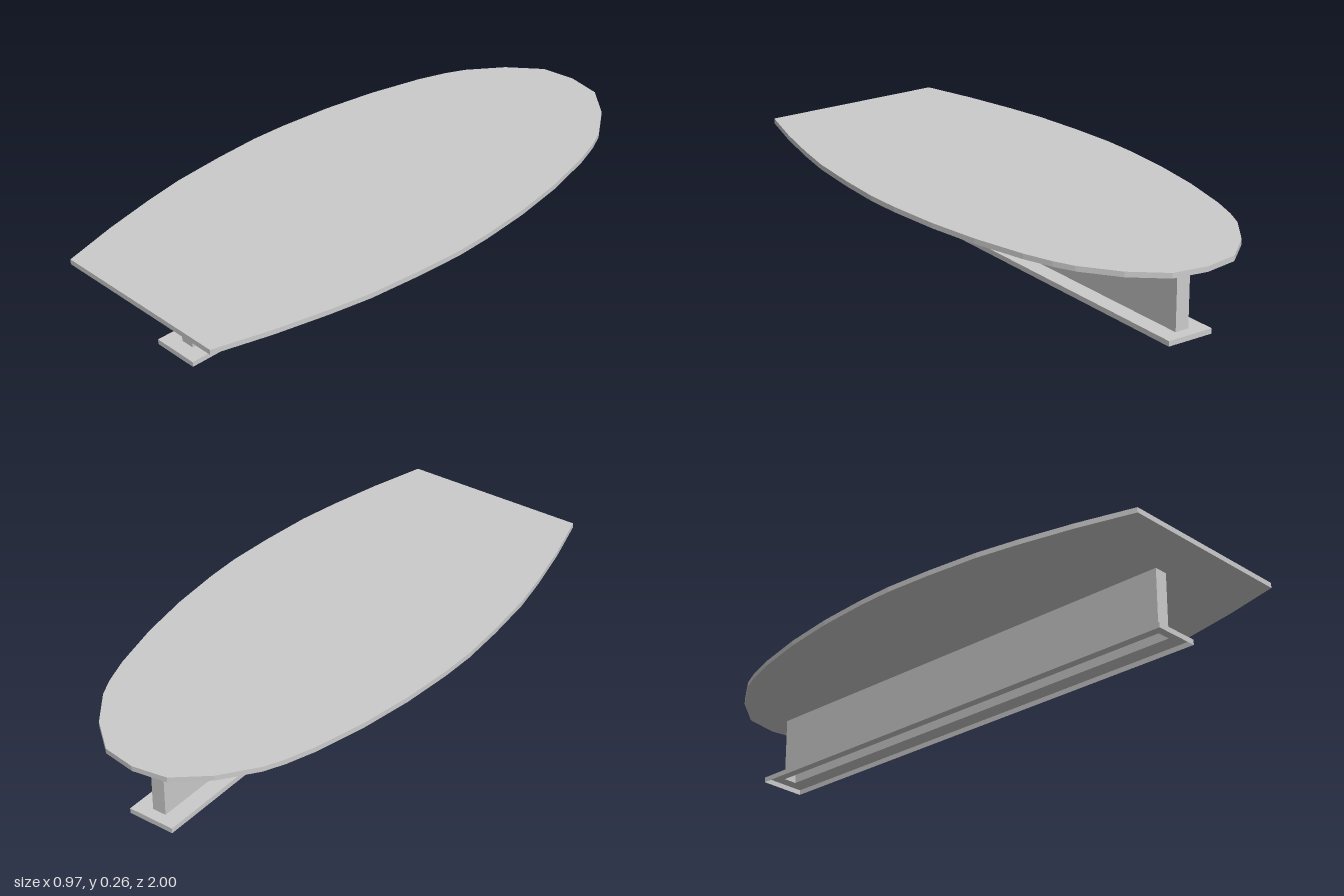
import * as THREE from 'three';

const material = new THREE.MeshStandardMaterial({ color: 0xcccccc, flatShading: true, side: THREE.DoubleSide });

const BASE = { w: 0.168, l: 1.8, z: -0.03, h: 0.018 };
const SPINE = { w: 0.05, l: 1.71, z: -0.035 };
const DECK = { y: 0.245, h: 0.018 };

// Shapes are drawn in plan as (x, -z), then laid flat
const layFlat = (geometry, y) => geometry.rotateX(-Math.PI / 2).translate(0, y, 0);

const rectangle = ({ w, l, z }) => [[-1, -1], [1, -1], [1, 1], [-1, 1]]
  .map(([sx, sy]) => new THREE.Vector2(sx * w / 2, -z + sy * l / 2));

// Four upright walls, open above and below
function walls({ w, l, z }, y0, y1) {
  const g = new THREE.BoxGeometry(w, y1 - y0, l);
  const index = Array.from(g.index.array);
  g.setIndex([...index.slice(0, 12), ...index.slice(24)]);
  g.clearGroups();
  return g.translate(0, (y0 + y1) / 2, z);
}

export function createModel() {
  const group = new THREE.Group();
  const add = (name, geometry) => {
    const mesh = new THREE.Mesh(geometry, material);
    mesh.name = name;
    group.add(mesh);
  };

  // Deck: mirrored half outline, square at the front and rounded at the back
  const half = [
    [0.333, 1], [0.388, 0.8], [0.43, 0.61], [0.457, 0.46], [0.475, 0.27], [0.484, 0.1],
    [0.48, -0.03], [0.463, -0.22], [0.432, -0.41], [0.385, -0.6], [0.35, -0.7],
    [0.317, -0.77], [0.228, -0.89], [0.12, -0.98],
  ];
  const outline = [...half, [0, -1], ...half.map(([x, z]) => [-x, z]).reverse()];
  const deckShape = new THREE.Shape(outline.map(([x, z]) => new THREE.Vector2(x, -z)));
  add('deck', layFlat(new THREE.ExtrudeGeometry(deckShape, { depth: DECK.h, bevelEnabled: false }), DECK.y));

  // Hollow spine under the deck
  add('spine', walls(SPINE, BASE.h, DECK.y));

  // Base: shallow tray open below, with a slot into the spine
  const plate = new THREE.Shape(rectangle(BASE));
  plate.holes.push(new THREE.Path(rectangle(SPINE)));
  add('basePlate', layFlat(new THREE.ShapeGeometry(plate), BASE.h));
  add('baseRim', walls(BASE, 0, BASE.h));

  return group;
}
